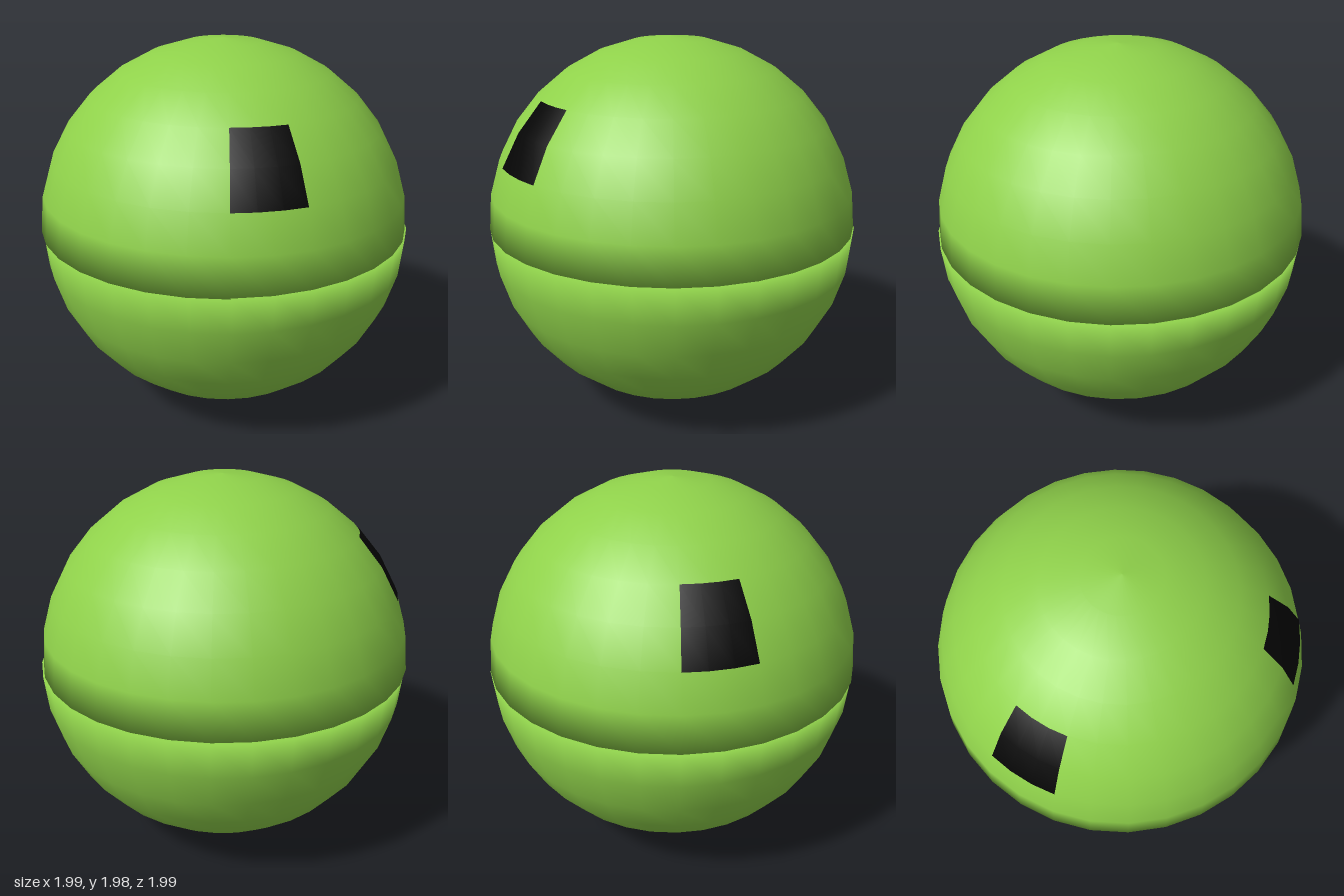
import * as THREE from 'three';

const SEGMENTS = 32;
const RINGS = 8;
const RADIUS = 0.99;

// Closed half ball; smooth normals roll over the rim onto the flat face
function halfBall(upper) {
  const arc = [];
  for (let i = 0; i <= RINGS; i++) {
    const a = (i / RINGS) * Math.PI / 2;
    arc.push(new THREE.Vector2(i === RINGS ? 0 : RADIUS * Math.cos(a), RADIUS * Math.sin(a)));
  }
  let profile = [new THREE.Vector2(0, 0), ...arc];
  if (!upper) profile = profile.map((p) => new THREE.Vector2(p.x, -p.y)).reverse();
  return new THREE.LatheGeometry(profile, SEGMENTS);
}

export function createModel() {
  const model = new THREE.Group();
  const green = new THREE.MeshStandardMaterial({ color: 0x8fd14a });
  const black = new THREE.MeshStandardMaterial({ color: 0x050505 });

  // Lower half, level
  const lower = new THREE.Mesh(halfBall(false), green);
  lower.name = 'lowerHalf';
  lower.position.set(0.003, 0.995, 0.003);
  model.add(lower);

  // Upper half, tipped very slightly open at the back
  const head = new THREE.Group();
  head.name = 'upperHalf';
  head.position.set(-0.003, 0.998, -0.003);
  head.rotation.x = 0.01;
  const shell = new THREE.Mesh(halfBall(true), green);
  shell.name = 'upperShell';
  head.add(shell);

  // Eyes: two-by-two facet patches following the shell, one on each side
  const step = Math.PI / 8;
  for (const [name, start] of [['frontEye', 2 * step], ['backEye', -3 * step]]) {
    const eye = new THREE.Mesh(
      new THREE.SphereGeometry(RADIUS + 0.003, 2, 2, start, step, 2 * step, step), black);
    eye.name = name;
    head.add(eye);
  }
  model.add(head);
  return model;
}
